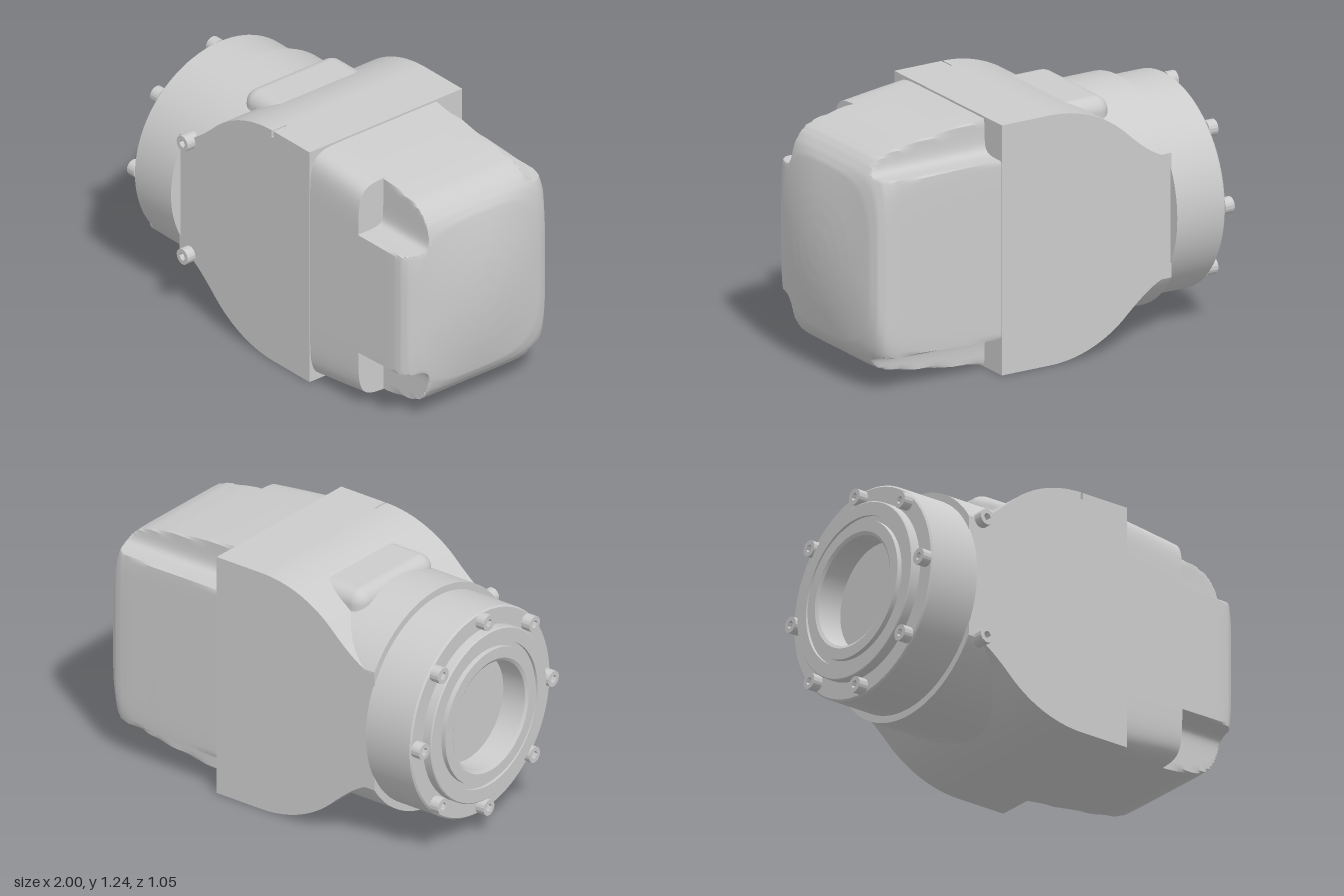
import * as THREE from 'three';
import { toCreasedNormals } from 'three/addons/utils/BufferGeometryUtils.js';
import { RoundedBoxGeometry } from 'three/addons/geometries/RoundedBoxGeometry.js';

const material = new THREE.MeshStandardMaterial({ color: 0xcccccc });
const DEPTH = 0.468; // half depth of the housing

function part(name, geometry, parent) {
  const mesh = new THREE.Mesh(geometry, material);
  mesh.name = name;
  parent.add(mesh);
  return mesh;
}

function extrude(shape, depth) {
  const g = new THREE.ExtrudeGeometry(shape, { depth, bevelEnabled: false, curveSegments: 48 });
  return toCreasedNormals(g, 0.5);
}

// Side profile of the housing: round nose, filleted into the barrel, square at the cover
function housingShape(withSlot) {
  const a = THREE.MathUtils.degToRad(133), r = 0.62;
  const s = new THREE.Shape();
  s.moveTo(0.27, -r);
  s.lineTo(0.27, r);
  if (withSlot) {
    s.lineTo(0.008, r);
    s.lineTo(0.008, r - 0.035);
    s.lineTo(-0.008, r - 0.035);
    s.lineTo(-0.008, r);
  } else s.lineTo(0, r);
  s.absarc(0, 0, r, Math.PI / 2, a, false);
  s.quadraticCurveTo(-0.587, 0.3, -0.66, 0.3);
  s.lineTo(-0.675, 0.3);
  s.lineTo(-0.675, -0.3);
  s.lineTo(-0.66, -0.3);
  s.quadraticCurveTo(-0.587, -0.3, r * Math.cos(a), -r * Math.sin(a));
  s.absarc(0, 0, r, 2 * Math.PI - a, 1.5 * Math.PI, false);
  s.closePath();
  return s;
}

// Circle with both sides cut flat
function barrelShape() {
  const r = 0.56, w = DEPTH - 0.001, a = Math.acos(w / r);
  const s = new THREE.Shape();
  s.absarc(0, 0, r, a, Math.PI - a, false);
  s.absarc(0, 0, r, Math.PI + a, 2 * Math.PI - a, false);
  s.closePath();
  return s;
}

// Cap screw head with a hexagonal socket, standing on z = 0
function screwGeometry(radius, height) {
  const s = new THREE.Shape().absarc(0, 0, radius, 0, Math.PI * 2, false);
  const hex = [];
  for (let i = 0; i < 6; i++) {
    const t = -i * Math.PI / 3;
    hex.push(new THREE.Vector2(Math.cos(t), Math.sin(t)).multiplyScalar(radius * 0.5));
  }
  s.holes.push(new THREE.Path(hex));
  return extrude(s, height);
}

// Cover: rounded cross-sections along x, with pockets cut into the four corners
function coverGeometry() {
  // x, half height, half depth, squareness
  const keys = [
    [0.26, 0.611, 0.465, 10], [0.45, 0.59, 0.46, 10], [0.61, 0.57, 0.456, 10],
    [0.61, 0.57, 0.456, 10], [0.7, 0.558, 0.453, 10], [0.82, 0.535, 0.45, 9],
    [0.87, 0.515, 0.447, 8], [0.9, 0.49, 0.44, 7], [0.93, 0.455, 0.42, 5],
    [0.95, 0.42, 0.38, 3.6], [0.96, 0.376, 0.34, 2.9], [0.97, 0.325, 0.294, 2.5],
    [0.98, 0.266, 0.24, 2.3], [0.99, 0.188, 0.17, 2.1], [0.997, 0.103, 0.093, 2], [1, 0, 0, 2]
  ];
  const rings = [];
  keys.forEach((k, i) => {
    const frontCut = i > 2;
    const steps = i === 2 || i === keys.length - 1 ? 1 : 4;
    for (let j = 0; j < steps; j++) {
      const next = keys[Math.min(i + 1, keys.length - 1)];
      rings.push({ v: k.map((a, c) => a + (next[c] - a) * j / steps), frontCut });
    }
  });
  const N = 320, positions = [], indices = [];
  for (const { v: [x, H, D, n], frontCut } of rings) {
    for (let j = 0; j < N; j++) {
      const t = j / N * Math.PI * 2, c = Math.cos(t), s = Math.sin(t);
      const ac = Math.abs(c) + 1e-6, as = Math.abs(s) + 1e-6;
      let r = H > 0 ? Math.pow(Math.pow(ac / D, n) + Math.pow(as / H, n), -1 / n) : 0;
      if (c < 0 || frontCut) {
        const [py, pz] = c < 0 ? [0.44, 0.315] : [0.32, 0.302];
        // smooth maximum leaves a fillet in the inner corner of the pocket
        const p = 14, a = py / as, b = pz / ac, m = Math.max(a, b);
        r = Math.min(r, m * Math.pow(Math.pow(a / m, p) + Math.pow(b / m, p), 1 / p));
      }
      positions.push(x, r * s, r * c);
    }
  }
  for (let i = 0; i < rings.length - 1; i++) {
    for (let j = 0; j < N; j++) {
      const a = i * N + j, b = i * N + (j + 1) % N;
      indices.push(a, a + N, b, b, a + N, b + N);
    }
  }
  const g = new THREE.BufferGeometry();
  g.setAttribute('position', new THREE.Float32BufferAttribute(positions, 3));
  g.setIndex(indices);
  return toCreasedNormals(g, 0.6);
}

export function createModel() {
  const model = new THREE.Group();
  model.name = 'gearHousing';
  const body = new THREE.Group();
  body.name = 'body';
  body.position.y = 0.62;
  model.add(body);

  // Housing in two layers; the front one carries the small top slot
  const slotDepth = 0.08;
  part('housing', extrude(housingShape(false), 2 * DEPTH - slotDepth), body).position.z = -DEPTH;
  part('housingFront', extrude(housingShape(true), slotDepth), body).position.z = DEPTH - slotDepth;

  // Barrel joining the housing to the flange
  const barrel = extrude(barrelShape(), 0.6).rotateY(-Math.PI / 2);
  part('barrel', barrel, body).position.x = -0.075;

  // Raised pad on top of the barrel
  const pad = new RoundedBoxGeometry(0.42, 0.4, 0.57, 5, 0.07);
  part('topPad', pad, body).position.set(-0.25, 0.378, -0.01);

  part('cover', coverGeometry(), body);

  // Flange with stepped rings and a recessed bore, turned about the x axis
  const profile = [
    [0, 0.67], [0.525, 0.67], [0.525, 0.932], [0.517, 0.94], [0.435, 0.94], [0.435, 0.985],
    [0.43, 0.99], [0.365, 0.99], [0.365, 0.975], [0.34, 0.975], [0.34, 1], [0.285, 1],
    [0.27, 0.99], [0.27, 0.86], [0, 0.86]
  ].map(([r, h]) => new THREE.Vector2(r, h));
  const flange = new THREE.LatheGeometry(profile, 96).rotateZ(Math.PI / 2);
  part('flange', toCreasedNormals(flange, 0.5), body);

  // Ring of flange screws
  const flangeScrew = screwGeometry(0.04, 0.05).rotateY(-Math.PI / 2);
  for (let i = 0; i < 8; i++) {
    const t = i * Math.PI / 4;
    part('flangeScrew', flangeScrew, body).position.set(-0.94, 0.485 * Math.sin(t), 0.485 * Math.cos(t));
  }

  // Two screws on the front face
  const frontScrew = screwGeometry(0.04, 0.048);
  for (const side of [-1, 1]) {
    part('frontScrew', frontScrew, body).position.set(-0.6, side * 0.305, DEPTH - 0.001);
  }
  // Seats carrying the part of each front screw that overhangs the flat
  for (const side of [-1, 1]) {
    const seat = new THREE.CylinderGeometry(0.04, 0.04, 0.05, 32).rotateX(Math.PI / 2);
    part('screwSeat', seat, body).position.set(-0.6, side * 0.305, DEPTH - 0.026);
  }
  return model;
}
